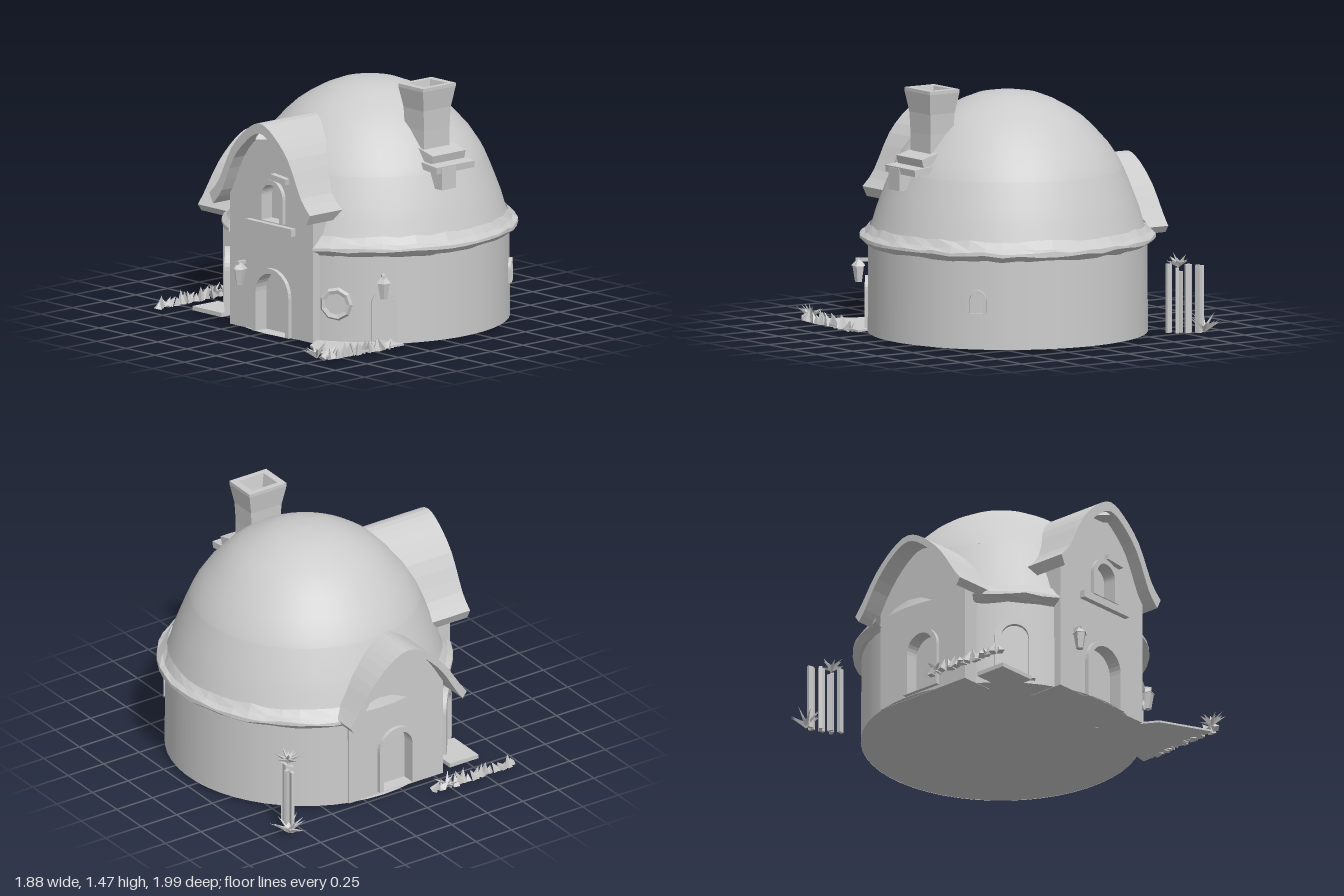
import * as THREE from 'three';

const V2 = (x, y) => new THREE.Vector2(x, y);
const smooth = new THREE.MeshStandardMaterial({ color: 0xcccccc, side: THREE.DoubleSide });
const flat = new THREE.MeshStandardMaterial({ color: 0xcccccc, side: THREE.DoubleSide, flatShading: true });
const CX = 0.07, CZ = -0.13, R = 0.815; // centre and radius of the round wall

let seed = 7;
const rnd = () => (seed = (seed * 16807) % 2147483647) / 2147483647;

function add(parent, name, geo, x = 0, y = 0, z = 0, mat = flat) {
  const m = new THREE.Mesh(geo, mat);
  m.name = name;
  m.position.set(x, y, z);
  parent.add(m);
  return m;
}
const box = (w, h, d) => new THREE.BoxGeometry(w, h, d);
const extrude = (shape, depth) =>
  new THREE.ExtrudeGeometry(shape, { depth, bevelEnabled: false, curveSegments: 8 });
const lathe = (pts, n, start = 0, length = Math.PI * 2) =>
  new THREE.LatheGeometry(pts.map(q => V2(...q)), n, start, length);

// Round-headed opening, used as a shape or as a hole
function arch(Type, x, y, w, h) {
  const r = w / 2, s = new Type();
  s.moveTo(x - r, y);
  s.lineTo(x + r, y);
  s.lineTo(x + r, y + h - r);
  s.absarc(x, y + h - r, r, 0, Math.PI, false);
  s.closePath();
  return s;
}
function archFrame(x, y, w, h, t, depth) {
  const s = arch(THREE.Shape, x, y, w + 2 * t, h + t);
  s.holes.push(arch(THREE.Path, x, y + 0.002, w, h - 0.002));
  return extrude(s, depth);
}

// Gabled bay: curved roof over a wall with openings, facing local +z.
// half: [x, y] profile of the right slope, from the eave to the ridge
function gable(name, half, t, wall, roofFront, roofBack, holes) {
  const g = new THREE.Group();
  g.name = name;
  const ctrl = [...half, ...half.slice(0, -1).reverse().map(([x, y]) => [-x, y])];
  const outer = new THREE.SplineCurve(ctrl.map(p => V2(...p))).getPoints(24);
  const inner = outer.map(p => V2(p.x * 0.93, p.y - t));
  const roof = new THREE.Shape([...outer, ...inner.slice().reverse()]);
  add(g, name + 'Roof', extrude(roof, roofFront - roofBack), 0, 0, roofBack);

  const { w0, w1, front, back } = wall;
  const top = inner.filter(p => p.x < w1 - 0.01 && p.x > w0 + 0.01).map(p => V2(p.x, p.y + t / 2));
  const face = new THREE.Shape([V2(w0, 0), V2(w1, 0), V2(w1, top[0].y - 0.03), ...top, V2(w0, top.at(-1).y - 0.03)]);
  for (const [x, y, w, h, ft] of holes) {
    face.holes.push(arch(THREE.Path, x, y + 0.002, w, h));
    add(g, name + 'OpeningFrame', archFrame(x, y, w, h, ft, 0.045), 0, 0, front - 0.02);
    add(g, name + 'OpeningPanel', extrude(arch(THREE.Shape, x, y, w + 0.01, h + 0.005), 0.02), 0, 0, front - 0.08);
  }
  add(g, name + 'Wall', extrude(face, front - back), 0, 0, back);
  return g;
}

// Group on the round wall at an angle from the front, facing outward
function onWall(root, name, angle) {
  const g = new THREE.Group();
  g.name = name;
  g.position.set(CX + R * Math.sin(angle), 0, CZ + R * Math.cos(angle));
  g.rotation.y = angle;
  root.add(g);
  return g;
}

// Row of small jagged stones and leaves
function jaggedRow(root, name, a, b, n, h) {
  const g = new THREE.Group();
  g.name = name;
  for (let i = 0; i < n; i++) {
    const k = i / (n - 1), s = h * (0.6 + 0.6 * rnd());
    const m = add(g, name + 'Piece', new THREE.ConeGeometry(0.026, s, 4),
      a[0] + (b[0] - a[0]) * k + (rnd() - 0.5) * 0.02, s * 0.45, a[1] + (b[1] - a[1]) * k);
    m.rotation.set((rnd() - 0.5) * 0.9, rnd() * 3, (rnd() - 0.5) * 0.9);
  }
  root.add(g);
}

// Clump of leaves fanning out from one point
function leafClump(root, name, x, y, z, n, len) {
  const g = new THREE.Group();
  g.name = name;
  g.position.set(x, y, z);
  for (let i = 0; i < n; i++) {
    const geo = new THREE.ConeGeometry(0.016, len * (0.7 + 0.5 * rnd()), 3);
    geo.translate(0, len * 0.45, 0);
    geo.rotateX(0.5 + 0.9 * rnd());
    geo.rotateY(i * 2.4);
    add(g, name + 'Leaf', geo);
  }
  root.add(g);
}

function lantern(g, x, y, z) {
  add(g, 'lanternBracket', box(0.02, 0.02, 0.08), x, y + 0.06, z + 0.03);
  add(g, 'lanternCap', new THREE.ConeGeometry(0.045, 0.05, 5), x, y + 0.05, z + 0.05);
  add(g, 'lanternBody', new THREE.CylinderGeometry(0.038, 0.022, 0.1, 5), x, y - 0.02, z + 0.05);
}

export function createModel() {
  const root = new THREE.Group();
  root.name = 'domeCottage';

  // Round wall and ragged eave, interrupted by the front bay and the side bay
  const gap = 0.43, west = Math.PI * 1.5;
  for (const [start, end] of [[gap, west - 0.27], [west + 0.54, Math.PI * 2 - gap]]) {
    const len = end - start, n = Math.ceil(len * 8);
    add(root, 'roundWall', new THREE.CylinderGeometry(R - 0.005, R, 0.57, n, 1, true, start, len), CX, 0.285, CZ, smooth);
    const eave = lathe([[0.8, 0.51], [0.83, 0.525], [0.862, 0.55], [0.86, 0.57], [0.83, 0.59], [0.8, 0.63]], n, start, len);
    const e = eave.attributes.position;
    for (let i = 0; i < e.count; i++) e.setY(i, e.getY(i) + (rnd() - 0.5) * 0.016);
    add(root, 'eave', eave, CX, 0, CZ);
  }
  const floor = new THREE.CircleGeometry(R, 48);
  floor.rotateX(Math.PI / 2);
  add(root, 'floor', floor, CX, 0.002, CZ);

  // Dome: lower band open behind the front bay, closed crown above
  add(root, 'domeBand', lathe([[0.81, 0.58], [0.785, 0.65], [0.765, 0.72], [0.735, 0.8], [0.7, 0.89], [0.67, 0.96]],
    42, gap, Math.PI * 2 - 2 * gap), CX, 0, CZ, smooth);
  add(root, 'domeCrown', lathe([[0.67, 0.96], [0.645, 1.01], [0.585, 1.1], [0.495, 1.2], [0.435, 1.255], [0.37, 1.3],
    [0.27, 1.355], [0.18, 1.39], [0.09, 1.405], [0, 1.41]], 48), CX, 0, CZ, smooth);

  // Front bay with door and upper window
  const front = gable('frontBay', [[0.43, 0.78], [0.35, 0.87], [0.24, 1.08], [0.11, 1.21], [0, 1.26]], 0.06,
    { w0: -0.345, w1: 0.365, front: 0.65, back: 0.42 }, 0.735, 0.2,
    [[0.025, 0, 0.25, 0.36, 0.03], [0.025, 0.67, 0.15, 0.22, 0.03]]);
  front.position.x = 0.065;
  add(front, 'windowSill', box(0.39, 0.045, 0.05), 0.02, 0.635, 0.66);
  add(front, 'windowHood', box(0.13, 0.035, 0.05), 0.1, 0.935, 0.66).rotation.z = -0.1;
  add(front, 'ridgeOrnament', new THREE.ConeGeometry(0.07, 0.07, 4), -0.02, 1.2, 0.68);
  lantern(front, -0.22, 0.33, 0.64);
  root.add(front);

  // Side bay, facing the model's right
  const side = gable('sideBay', [[0.41, 0.575], [0.36, 0.64], [0.25, 0.8], [0.12, 0.92], [0, 0.97]], 0.04,
    { w0: -0.33, w1: 0.33, front: 0.72, back: 0.5 }, 0.85, 0.4, [[0.0, 0.02, 0.2, 0.36, 0.03]]);
  side.position.z = -0.03;
  side.rotation.y = -Math.PI / 2;
  root.add(side);

  // Chimney: flared square pot on a stepped base
  const pot = lathe([[0.115, 0.85], [0.115, 1.2], [0.122, 1.32], [0.148, 1.44], [0.148, 1.46], [0.1, 1.46], [0.07, 1.33], [0, 1.33]], 4);
  pot.rotateY(Math.PI / 4);
  const chimney = new THREE.Group();
  chimney.name = 'chimney';
  add(chimney, 'chimneyPot', pot, 0.588, 0, -0.105).scale.set(1, 1, 1.24);
  add(chimney, 'chimneyShoulder', box(0.13, 0.06, 0.26), 0.69, 1.055, -0.12).rotation.z = -0.25;
  add(chimney, 'chimneyLedge', box(0.13, 0.04, 0.3), 0.755, 1.0, -0.115).rotation.z = -0.1;
  add(chimney, 'chimneyFoot', box(0.11, 0.13, 0.11), 0.77, 0.94, -0.06);
  root.add(chimney);

  // Arched window on the front right of the round wall
  const win = onWall(root, 'archedWindow', -0.74);
  add(win, 'archedWindowFrame', archFrame(0, 0.02, 0.16, 0.34, 0.04, 0.05), 0, 0, -0.02);
  add(win, 'archedWindowPane', extrude(arch(THREE.Shape, 0, 0.02, 0.17, 0.34), 0.015), 0, 0, -0.01);
  add(win, 'archedWindowBar', box(0.02, 0.32, 0.02), 0, 0.18, 0.01);

  // Round window, lantern and narrow arch on the other side
  const port = onWall(root, 'roundWindow', 0.585);
  add(port, 'roundWindowFrame', new THREE.TorusGeometry(0.08, 0.02, 5, 9), 0, 0.235, 0.003);
  add(port, 'roundWindowPane', new THREE.CircleGeometry(0.085, 9), 0, 0.235, 0.008);
  const niche = onWall(root, 'narrowArch', 0.93);
  add(niche, 'narrowArchFrame', archFrame(0, 0.02, 0.11, 0.28, 0.02, 0.025), 0, 0, -0.012);
  add(niche, 'narrowArchPanel', extrude(arch(THREE.Shape, 0, 0.02, 0.11, 0.28), 0.01), 0, 0, -0.008);
  lantern(niche, -0.01, 0.35, 0);

  // Small hooded window at the back
  const rear = onWall(root, 'rearWindow', 2.31);
  add(rear, 'rearWindowFrame', archFrame(0, 0.21, 0.08, 0.12, 0.02, 0.03), 0, 0, -0.015);

  // Ground slabs beside the entrance
  const slab = new THREE.Shape([V2(0.3, -0.4), V2(0.83, -0.3), V2(0.79, -0.87), V2(0.49, -0.73)]);
  const slabGeo = extrude(slab, 0.012);
  slabGeo.rotateX(-Math.PI / 2);
  add(root, 'groundSlab', slabGeo);
  add(root, 'stepSlab', box(0.25, 0.025, 0.2), -0.565, 0.0125, 0.47);

  // Garden edging and plants
  jaggedRow(root, 'frontEdging', [0.81, 0.38], [0.79, 0.88], 18, 0.075);
  leafClump(root, 'frontPlant', 0.74, 0.02, 0.91, 10, 0.1);
  jaggedRow(root, 'sideEdging', [-0.88, 0.15], [-0.86, 0.69], 18, 0.075);
  leafClump(root, 'sidePlant', -0.88, 0.02, 0.22, 6, 0.09);

  // Rough planks with climbing leaves at the back corner
  const planks = new THREE.Group();
  planks.name = 'plankStack';
  for (let i = 0; i < 7; i++) {
    const h = 0.3 + 0.12 * rnd();
    add(planks, 'plank', box(0.034, h, 0.02), -0.645 - i * 0.028, h / 2, -0.74 - (i % 2) * 0.03 - i * 0.014).rotation.y = i;
  }
  root.add(planks);
  leafClump(root, 'plankLeaves', -0.69, 0.4, -0.77, 9, 0.09);
  leafClump(root, 'backPlant', -0.82, 0.02, -0.85, 13, 0.12);
  return root;
}
